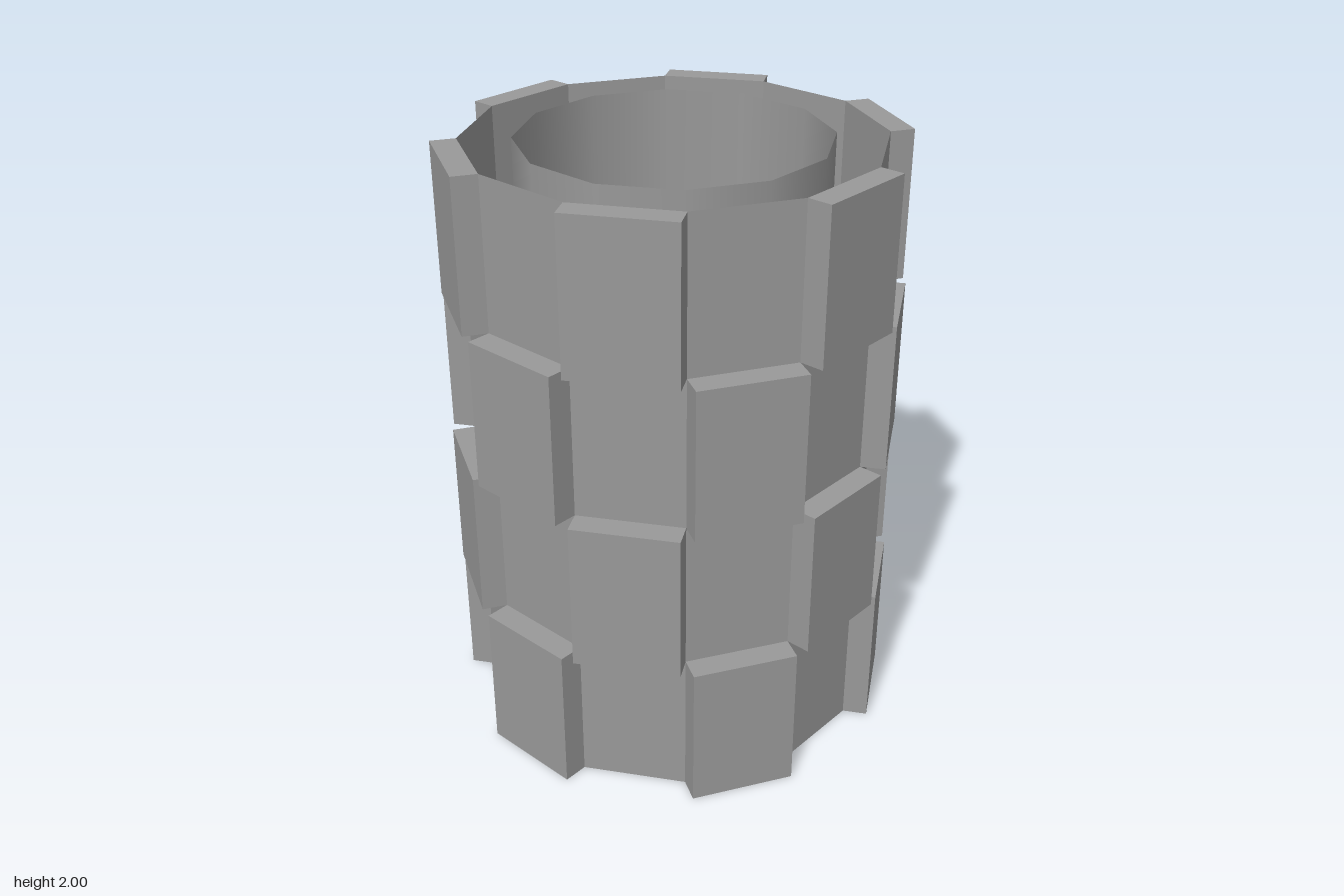
import * as THREE from 'three';

const SIDES = 12;
const ROWS = 4;
const ROW_HEIGHT = 0.5;
const SHELL_RADIUS = 0.667;
const LINER_RADIUS = 0.5;
const BLOCK_DEPTH = 0.082;
const COLOR = 0x999999;

export function createModel() {
  const model = new THREE.Group();
  model.name = 'blockTower';
  const height = ROWS * ROW_HEIGHT;
  const flat = new THREE.MeshStandardMaterial({ color: COLOR, flatShading: true });
  const flatOpen = new THREE.MeshStandardMaterial({ color: COLOR, flatShading: true, side: THREE.DoubleSide });
  const smoothOpen = new THREE.MeshStandardMaterial({ color: COLOR, side: THREE.DoubleSide });

  // Thin open tube with its foot on the ground
  const addTube = (name, radius, material) => {
    const geometry = new THREE.CylinderGeometry(radius, radius, height, SIDES, 1, true);
    const tube = new THREE.Mesh(geometry, material);
    tube.name = name;
    tube.position.y = height / 2;
    model.add(tube);
  };
  addTube('outerShell', SHELL_RADIUS, flatOpen);
  addTube('innerLiner', LINER_RADIUS, smoothOpen);

  // Raised blocks on every second facet, staggered from row to row
  const step = (2 * Math.PI) / SIDES;
  const apothem = SHELL_RADIUS * Math.cos(step / 2);
  const width = 2 * SHELL_RADIUS * Math.sin(step / 2);
  const blockGeometry = new THREE.BoxGeometry(width, ROW_HEIGHT, BLOCK_DEPTH);
  blockGeometry.translate(0, ROW_HEIGHT / 2, apothem + BLOCK_DEPTH / 2);

  for (let row = 0; row < ROWS; row++) {
    const ring = new THREE.Group();
    ring.name = `blockRow${row + 1}`;
    ring.position.y = row * ROW_HEIGHT;
    for (let i = row % 2; i < SIDES; i += 2) {
      const block = new THREE.Mesh(blockGeometry, flat);
      block.name = 'block';
      block.rotation.y = (i - 0.5) * step;
      ring.add(block);
    }
    model.add(ring);
  }
  return model;
}
